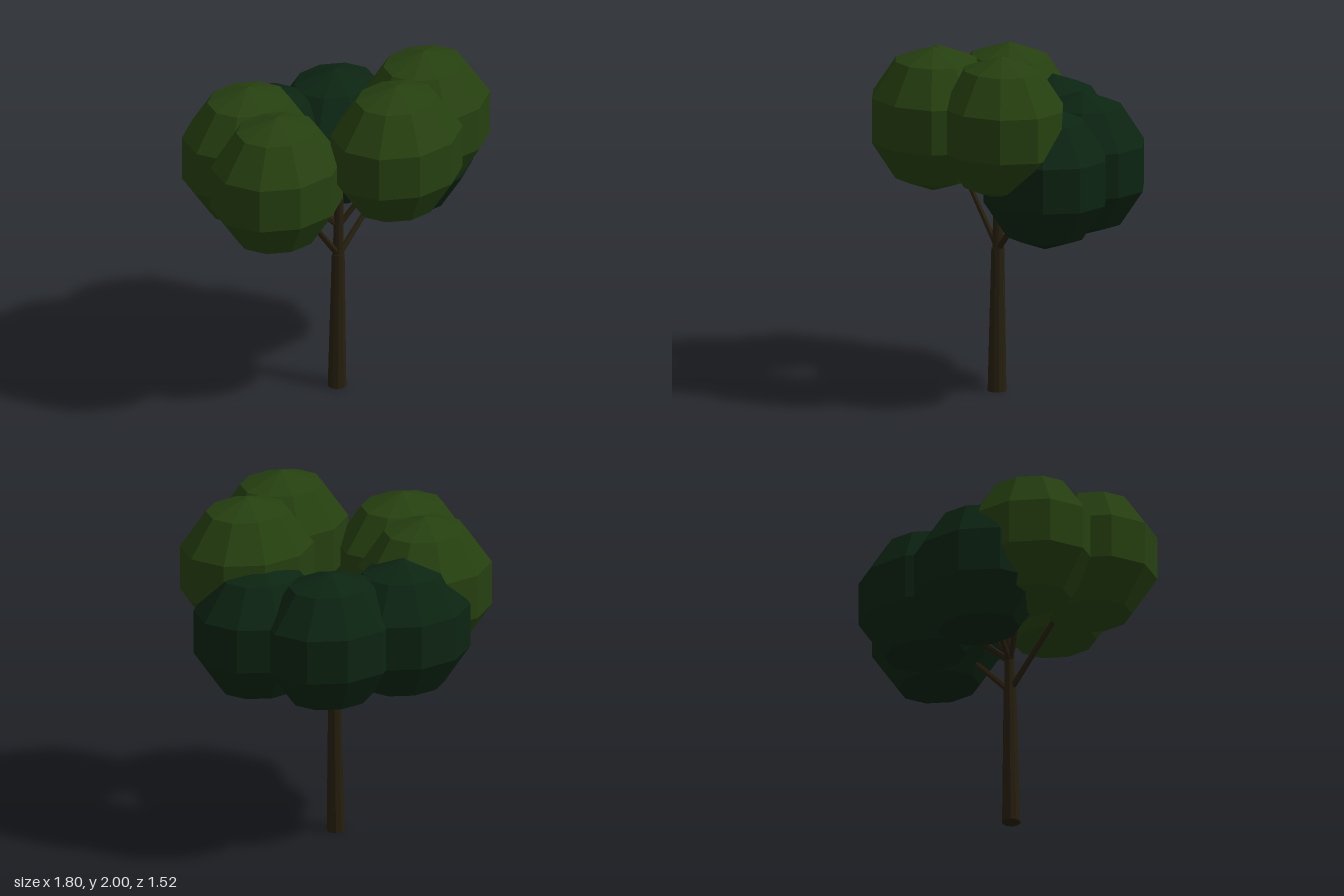
import * as THREE from 'three';

export function createModel() {
  const model = new THREE.Group();
  model.name = 'tree';

  const material = (name, color) => {
    const m = new THREE.MeshStandardMaterial({ color, flatShading: true });
    m.name = name;
    return m;
  };
  const bark = material('bark', 0x261f0e);
  const lightLeaf = material('lightLeaf', 0x264010);
  const darkLeaf = material('darkLeaf', 0x0c2412);

  // Tapered limb running between two points
  function limb(name, from, to, r0, r1, sides) {
    const a = new THREE.Vector3(...from), b = new THREE.Vector3(...to);
    const dir = b.clone().sub(a);
    const mesh = new THREE.Mesh(new THREE.CylinderGeometry(r1, r0, dir.length(), sides), bark);
    mesh.position.copy(a).add(b).multiplyScalar(0.5);
    mesh.quaternion.setFromUnitVectors(new THREE.Vector3(0, 1, 0), dir.normalize());
    mesh.name = name;
    model.add(mesh);
  }

  // Trunk in two lengths, the upper one thinner
  limb('trunk', [-0.006, 0, 0], [0.003, 0.81, 0], 0.052, 0.036, 10);
  limb('upperTrunk', [0.003, 0.8, 0], [0.01, 1.22, 0], 0.031, 0.024, 10);

  // Leaf clumps: centre, height where the branch leaves the trunk, colour
  const clumps = [
    { name: 'front', at: [0.038, 1.595, 0.435], fork: 1.16, leaf: lightLeaf },
    { name: 'frontLeft', at: [0.432, 1.595, 0.23], fork: 0.98, leaf: lightLeaf },
    { name: 'right', at: [-0.517, 1.452, 0.067], fork: 0.8, leaf: lightLeaf },
    { name: 'backRight', at: [-0.388, 1.452, -0.308], fork: 0.98, leaf: lightLeaf },
    { name: 'left', at: [0.512, 1.305, 0.003], fork: 0.8, leaf: darkLeaf },
    { name: 'backLeft', at: [0.308, 1.305, -0.362], fork: 0.98, leaf: darkLeaf },
    { name: 'back', at: [-0.138, 1.305, -0.44], fork: 0.98, leaf: darkLeaf },
  ];
  const clumpShape = new THREE.SphereGeometry(0.405, 10, 5).scale(1, 1, 0.874);
  for (const { name, at, fork, leaf } of clumps) {
    const clump = new THREE.Mesh(clumpShape, leaf);
    clump.position.set(...at);
    clump.name = name + 'Leaves';
    model.add(clump);
    limb(name + 'Branch', [0.005, fork, 0], at, 0.018, 0.011, 6);
  }

  return model;
}
